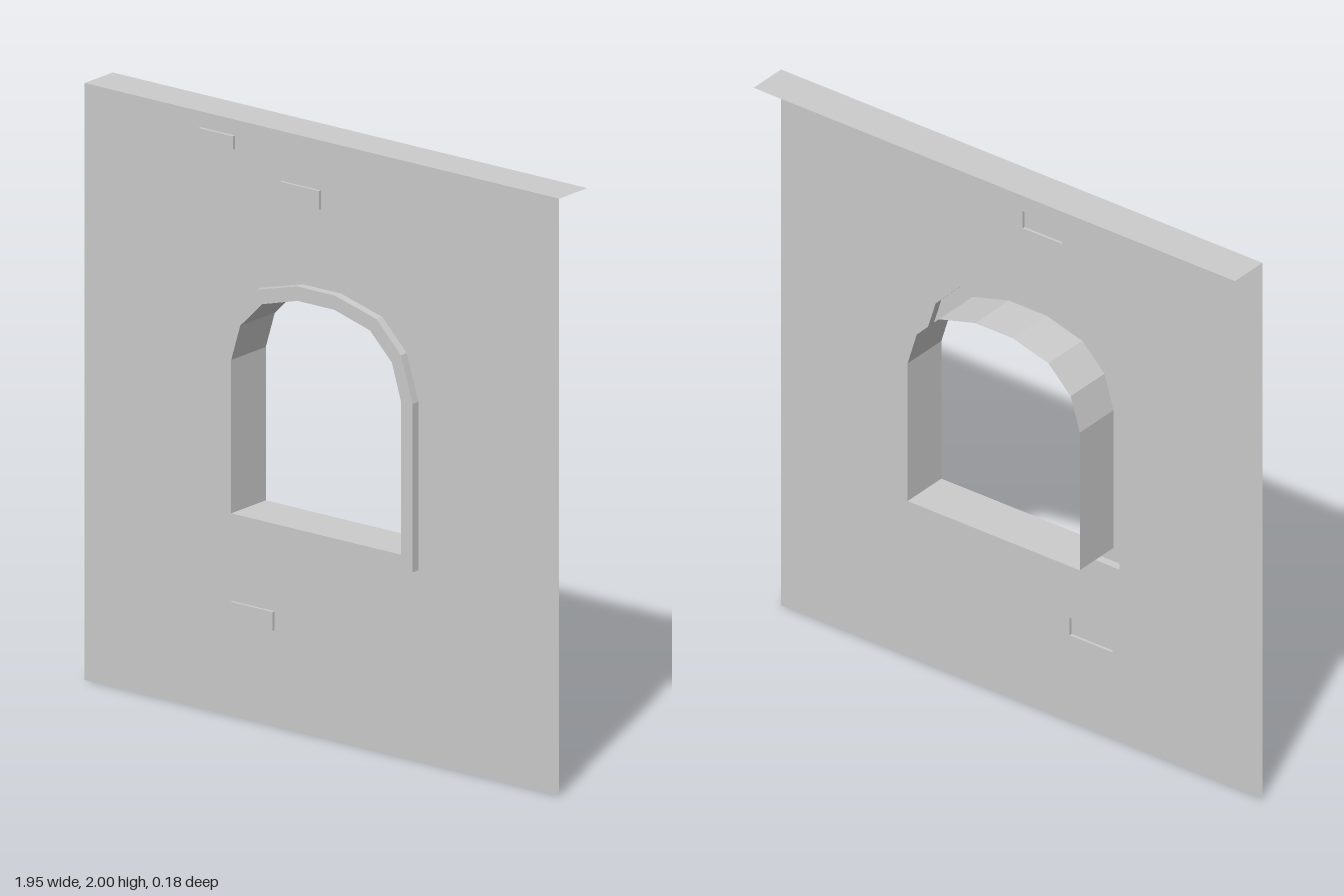
import * as THREE from 'three';

const material = new THREE.MeshStandardMaterial({ color: 0xcccccc, flatShading: true, side: THREE.DoubleSide });
const HALF_W = 0.973, HEIGHT = 2;
const WALL_Z = 0.058, FRAME_Z = 0.088, BACK_Z = -0.088;

const toPoints = (pairs) => pairs.map(([x, y]) => new THREE.Vector2(x, y));

// Counter-clockwise window outline, mirrored from its right half (bottom to top)
function mirrored(half) {
  return toPoints([...half, ...half.map(([x, y]) => [-x, y]).reverse()]);
}

// Counter-clockwise rectangle
function rect(x0, x1, y0, y1) {
  return toPoints([[x0, y0], [x1, y0], [x1, y1], [x0, y1]]);
}

// Flat sheet with holes, facing +z
function sheet(name, outline, holes, z) {
  const shape = new THREE.Shape(outline);
  holes.forEach((h) => shape.holes.push(new THREE.Path(h)));
  const mesh = new THREE.Mesh(new THREE.ShapeGeometry(shape), material);
  mesh.name = name;
  mesh.position.z = z;
  return mesh;
}

// Open-ended band following a closed outline between two depths
function band(name, outline, zBack, zFront, inward = false) {
  const pos = [];
  outline.forEach((a, i) => {
    const b = outline[(i + 1) % outline.length];
    const [p, q] = inward ? [b, a] : [a, b];
    pos.push(p.x, p.y, zBack, q.x, q.y, zBack, q.x, q.y, zFront);
    pos.push(p.x, p.y, zBack, q.x, q.y, zFront, p.x, p.y, zFront);
  });
  const geometry = new THREE.BufferGeometry();
  geometry.setAttribute('position', new THREE.Float32BufferAttribute(pos, 3));
  geometry.computeVertexNormals();
  const mesh = new THREE.Mesh(geometry, material);
  mesh.name = name;
  return mesh;
}

export function createModel() {
  const model = new THREE.Group();
  model.name = 'windowWall';

  const outer = mirrored([[0.396, 0.64], [0.396, 1.204], [0.348, 1.358], [0.248, 1.459], [0.078, 1.504]]);
  const inner = mirrored([[0.348, 0.69], [0.348, 1.204], [0.311, 1.326], [0.221, 1.416], [0.076, 1.456]]);
  const bricks = [
    { outline: rect(-0.497, -0.356, 1.902, 1.947), depth: 0.012 },
    { outline: rect(-0.163, -0.004, 1.77, 1.833), depth: 0.009 },
    { outline: rect(-0.367, -0.194, 0.321, 0.385), depth: 0.01 },
  ];

  // Wall face, open behind the frame and the raised bricks
  const face = rect(-HALF_W, HALF_W, 0, HEIGHT);
  model.add(sheet('wallFace', face, [outer, ...bricks.map((b) => b.outline)], WALL_Z));

  // Ledge running back from the top edge
  const depth = WALL_Z + 0.085;
  const ledge = new THREE.Mesh(new THREE.PlaneGeometry(2 * HALF_W, depth).rotateX(-Math.PI / 2), material);
  ledge.name = 'topLedge';
  ledge.position.set(0, HEIGHT, WALL_Z - depth / 2);
  model.add(ledge);

  // Arched window frame and deep reveal
  const frame = new THREE.Group();
  frame.name = 'windowFrame';
  frame.add(
    sheet('frameFace', outer, [inner], FRAME_Z),
    band('frameEdge', outer, WALL_Z, FRAME_Z),
    band('windowReveal', inner, BACK_Z, FRAME_Z, true),
  );
  model.add(frame);

  // Slightly raised bricks, hollow at the back
  bricks.forEach(({ outline, depth: d }, i) => {
    const brick = new THREE.Group();
    brick.name = `raisedBrick${i + 1}`;
    brick.add(
      sheet('brickFace', outline, [], WALL_Z + d),
      band('brickEdge', outline, WALL_Z, WALL_Z + d),
    );
    model.add(brick);
  });

  return model;
}
